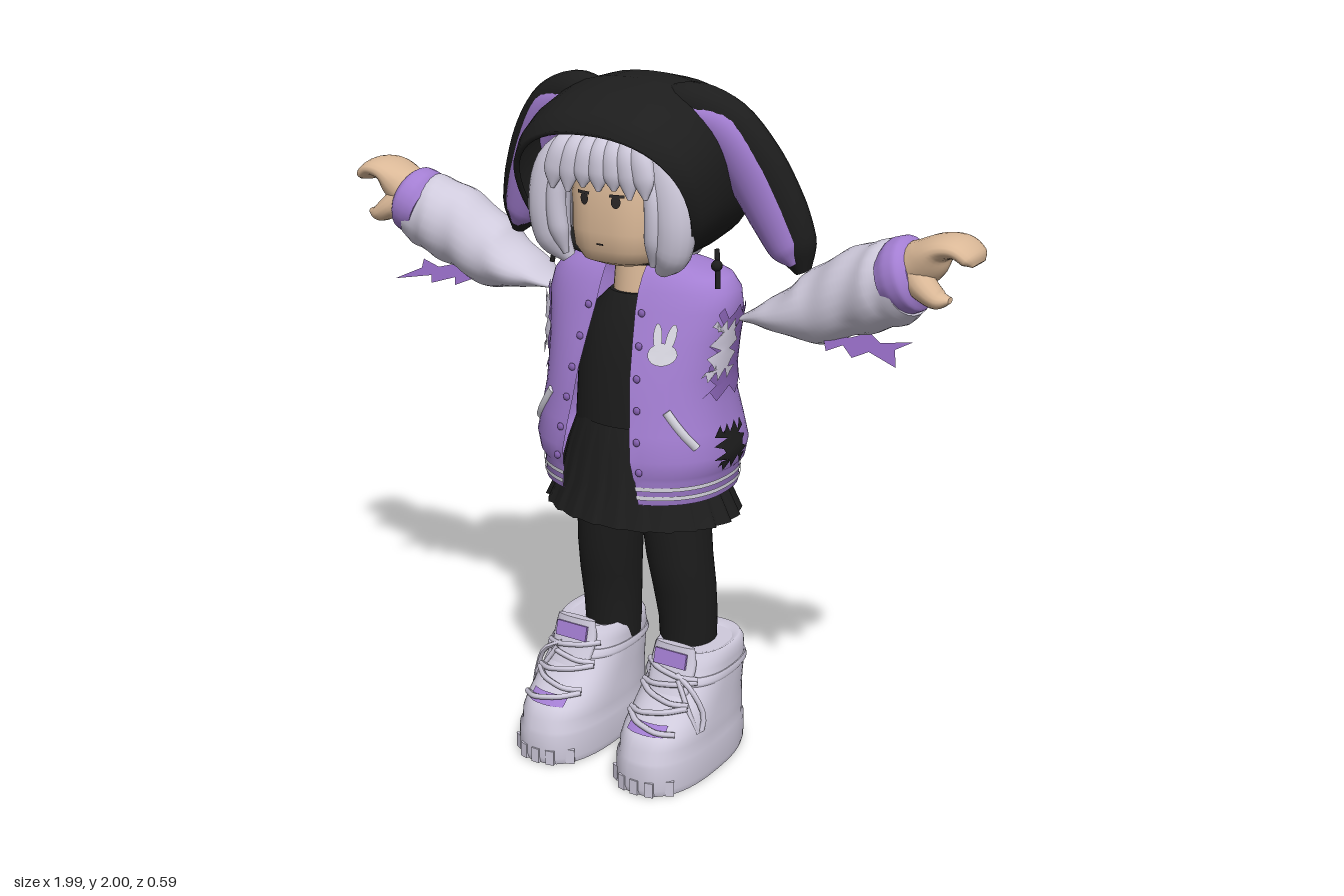
import * as THREE from 'three';

const mat = (name, color, double = true) => {
  const m = new THREE.MeshStandardMaterial({ color, side: double ? THREE.DoubleSide : THREE.FrontSide });
  m.name = name;
  return m;
};
const V = (x, y, z) => new THREE.Vector3(x, y, z);

// Skins rows of points; closed rows wrap around, caps close the ends
function skin(rows, closed = true, caps = false) {
  const n = rows[0].length, pos = [], idx = [];
  rows.forEach(r => r.forEach(p => pos.push(p.x, p.y, p.z)));
  for (let i = 0; i < rows.length - 1; i++)
    for (let j = 0; j < (closed ? n : n - 1); j++) {
      const a = i * n + j, b = i * n + (j + 1) % n;
      idx.push(a, b, b + n, a, b + n, a + n);
    }
  if (caps) [rows[0], rows[rows.length - 1]].forEach((r, end) => {
    const base = pos.length / 3, c = V(0, 0, 0);
    r.forEach(p => { c.add(p); pos.push(p.x, p.y, p.z); });
    c.divideScalar(n);
    pos.push(c.x, c.y, c.z);
    for (let j = 0; j < n; j++) {
      const a = base + j, b = base + (j + 1) % n;
      end ? idx.push(a, b, base + n) : idx.push(b, a, base + n);
    }
  });
  const g = new THREE.BufferGeometry();
  g.setAttribute('position', new THREE.Float32BufferAttribute(pos, 3));
  g.setIndex(idx);
  g.computeVertexNormals();
  return g;
}

const pw = (v, e) => Math.sign(v) * Math.abs(v) ** e;
// Point on a superellipse ring [y, rx, rz, cz, cx]; angle 0 faces the front
const ringPoint = ([y, rx, rz, cz = 0, cx = 0], t, n, k = 1) =>
  V(cx + k * rx * pw(Math.sin(t), 2 / n), y, cz + k * rz * pw(Math.cos(t), 2 / n));
const loft = (rings, n = 2, caps = true, seg = 40, wave = () => 1) => skin(rings.map((r, i) =>
  Array.from({ length: seg }, (_, j) => ringPoint(r, j / seg * Math.PI * 2, n, wave(j, i)))), true, caps);

// Ring of a profile at any height
function at(rings, y) {
  let i = 0;
  while (i < rings.length - 2 && rings[i + 1][0] < y) i++;
  const a = rings[i], b = rings[i + 1], f = (y - a[0]) / (b[0] - a[0]);
  return a.map((v, k) => v + (b[k] - v) * f);
}
const frontZ = (rings, n, x, y) => {
  const [, rx, rz, cz, cx = 0] = at(rings, y);
  return cz + rz * Math.max(0, 1 - Math.abs((x - cx) / rx) ** n) ** (1 / n);
};
// Lays a flat geometry on the front of a profile
function drape(g, rings, n, off = 0.006) {
  const p = g.attributes.position;
  for (let i = 0; i < p.count; i++) p.setZ(i, frontZ(rings, n, p.getX(i), p.getY(i)) + off);
  g.computeVertexNormals();
  return g;
}

// Sweeps an ellipse along points [x, y, z, halfWidth, halfDepth]; ref is the depth direction
function sweep(pts, ref = V(0, 0, 1), steps = 20, seg = 16, wrinkle = 0) {
  const path = new THREE.CatmullRomCurve3(pts.map(p => V(p[0], p[1], p[2])));
  const size = new THREE.CatmullRomCurve3(pts.map(p => V(p[3], p[4], 0)));
  const rows = [];
  for (let i = 0; i <= steps; i++) {
    const t = i / steps, P = path.getPoint(t), T = path.getTangent(t), s = size.getPoint(t);
    const D = ref.clone().addScaledVector(T, -ref.dot(T)).normalize(), W = T.clone().cross(D);
    rows.push(Array.from({ length: seg }, (_, j) => {
      const a = j / seg * Math.PI * 2, k = 1 + wrinkle * Math.sin(t * 26 + 2 * Math.sin(a) + a);
      return P.clone().addScaledVector(D, s.y * k * Math.cos(a)).addScaledVector(W, s.x * k * Math.sin(a));
    }));
  }
  return skin(rows, true, true);
}
const cord = (pts, r) => new THREE.TubeGeometry(new THREE.CatmullRomCurve3(pts.map(p => V(...p))), 14, r, 6);

function flip(g) {
  const m = g.clone().scale(-1, 1, 1), ix = m.index.array;
  for (let i = 0; i < ix.length; i += 3) [ix[i], ix[i + 1]] = [ix[i + 1], ix[i]];
  m.computeVertexNormals();
  return m;
}

export function createModel() {
  const black = mat('black cloth', 0x1d1d1d), purple = mat('purple cloth', 0xa37ed2);
  const deep = mat('torn purple', 0x8762b2), pale = mat('pale lavender', 0xcfcadc);
  const skinTone = mat('skin', 0xdab897), white = mat('stripe white', 0xd9d8e2), dark = mat('eye dark', 0x2a2626);
  const root = new THREE.Group();
  const add = (name, g, m) => { const o = new THREE.Mesh(g, m); o.name = name; root.add(o); return o; };
  const pair = (name, g, m) => { add('left ' + name, g, m); add('right ' + name, flip(g), m); };

  // Head, neck and face
  const head = [[1.5, .07, .07, .06], [1.515, .11, .11, .058], [1.55, .135, .135, .052], [1.6, .143, .145, .047],
    [1.7, .145, .145, .045], [1.78, .13, .13, .04], [1.84, .09, .09, .04]];
  add('head', loft(head, 2.6), skinTone);
  add('neck', new THREE.CylinderGeometry(.06, .075, .2, 24).translate(0, 1.44, 0), skinTone);
  pair('eye', drape(new THREE.CircleGeometry(.016, 16).scale(.85, 1.1, 1).translate(.05, 1.69, 0), head, 2.6, .005), dark);
  pair('lash', drape(new THREE.PlaneGeometry(.042, .008, 4, 1).translate(.053, 1.706, 0), head, 2.6, .007), dark);
  add('mouth', drape(new THREE.PlaneGeometry(.022, .005, 3, 1).translate(0, 1.57, 0), head, 2.6, .004), dark);

  // Hair: inner cap, fringe strands and side locks
  add('hair cap', loft([[1.53, .19, .09, 0], [1.6, .235, .12, 0], [1.7, .25, .135, .02], [1.8, .22, .135, .03],
    [1.86, .14, .1, .05], [1.885, .03, .03, .05]]), pale);
  for (let i = -3; i <= 3; i++) {
    const x = i * .047, tip = 1.715 - Math.abs(i) * .006 + (i % 2 ? .012 : 0);
    add('fringe strand', sweep([[x * .6, 1.87, .12, .02, .02], [x * .85, 1.82, .18, .035, .025],
      [x, 1.76, .197, .033, .018], [x * 1.05, tip, .198, .006, .006]]), pale);
  }
  pair('side lock', sweep([[.1, 1.85, .11, .03, .03], [.175, 1.76, .14, .06, .04], [.2, 1.65, .14, .062, .05],
    [.19, 1.56, .135, .055, .045], [.15, 1.5, .12, .02, .02]]), pale);
  pair('cheek lock', sweep([[.13, 1.8, .16, .02, .02], [.155, 1.7, .17, .028, .025], [.155, 1.6, .165, .03, .025],
    [.14, 1.52, .15, .008, .008]]), pale);

  // Hood: rings from the back to the slanted front rim [z, centreY, rx, ry, slant]
  const hood = [[-.293, 1.72, .004, .004, 0], [-.288, 1.72, .09, .085, 0], [-.27, 1.725, .16, .15, 0],
    [-.235, 1.73, .22, .2, 0], [-.17, 1.74, .27, .235, 0], [-.06, 1.749, .297, .251, 0], [.04, 1.747, .302, .252, .06],
    [.11, 1.73, .298, .238, .2], [.155, 1.71, .287, .218, .38], [.185, 1.69, .272, .195, .5], [.172, 1.69, .262, .184, .5]];
  add('hood', skin(hood.map(([z, cy, rx, ry, s]) => Array.from({ length: 48 }, (_, j) => {
    const a = j / 48 * Math.PI * 2, y = ry * pw(Math.cos(a), .87);
    return V(-rx * pw(Math.sin(a), .87), cy + y, z + s * y);
  }))), black);
  const ear = [[.08, 1.93, .03, .04, .04], [.18, 1.935, .015, .062, .06], [.27, 1.88, -.01, .085, .062],
    [.34, 1.775, -.04, .096, .065], [.4, 1.66, -.065, .088, .065], [.445, 1.565, -.08, .066, .055], [.47, 1.5, -.085, .02, .025]];
  pair('hood ear', sweep(ear, V(-.25, 0, 1), 28, 20), black);
  pair('ear lining', sweep(ear.slice(1).map(([x, y, z, a, b], i) =>
    [x - .012, y + (i > 4 ? .025 : 0), z + .028, a * (i ? .78 : .4), b * .75]), V(-.25, 0, 1), 28, 20), purple);
  pair('hood cord', cord([[.25, 1.55, 0], [.265, 1.5, .02], [.272, 1.45, .03]], .008), black);
  pair('cord tip', new THREE.SphereGeometry(.016, 10, 8).translate(.262, 1.51, .02), black);

  // Dress
  add('dress top', loft([[.95, .2, .16, -.02], [1.2, .18, .145, -.01], [1.34, .15, .11, -.005], [1.41, .075, .08, 0]], 2.2), black);
  add('pleated skirt', loft([[.765, .298, .235, -.025], [.86, .25, .207, -.025], [.95, .222, .19, -.02], [1.04, .19, .165, -.02]],
    2, false, 144, (j, i) => 1 + [.022, .016, .01, 0][i] * (j % 6 / 3 - 1)), black);
  add('skirt lining', loft([[.745, .13, .14, -.02], [.8, .19, .17, -.02], [.86, .2, .18, -.02]]), deep);

  // Jacket body, open along the front
  const N = 2.3;
  const jacket = [[.845, .265, .225, -.02], [.85, .278, .236, -.02], [.915, .282, .238, -.02], [.93, .296, .246, -.022],
    [.98, .306, .252, -.022], [1.05, .292, .238, -.02], [1.12, .279, .218, -.017], [1.2, .274, .2, -.015], [1.3, .284, .176, -.026],
    [1.38, .297, .157, -.037], [1.43, .288, .145, -.044], [1.465, .262, .128, -.046], [1.485, .21, .112, -.045],
    [1.497, .14, .1, -.04], [1.51, .1, .088, -.035], [1.525, .095, .085, -.035]];
  const gapX = y => y > 1.4 ? .062 : .062 + (1.4 - y) * .115;
  const strip = (y0s, off, seg = 56) => skin(y0s.map(y => {
    const r = at(jacket, y).map((v, k) => k === 1 || k === 2 ? v + off : v);
    const g = Math.asin((gapX(y) / r[1]) ** (N / 2));
    return Array.from({ length: seg + 1 }, (_, j) => ringPoint(r, g + (Math.PI * 2 - 2 * g) * j / seg, N));
  }), false);
  add('jacket', strip(jacket.map(r => r[0]), 0), purple);
  add('lower hem stripe', strip([.866, .878], .004), white);
  add('upper hem stripe', strip([.892, .904], .004), white);
  for (let i = 0; i < 6; i++) {
    const y = .95 + i * .085, x = gapX(y) + .022;
    pair('snap button', new THREE.SphereGeometry(.011, 10, 8).scale(1, 1, .6)
      .translate(x, y, frontZ(jacket, N, x, y) + .004), deep);
  }
  // Pocket trims and rabbit patch
  pair('pocket trim', sweep([0, 1, 2, 3].map(i => {
    const x = .19 + i * .024, y = 1.12 - i * .034;
    return [x, y, frontZ(jacket, N, x, y) + .002, .013, .008];
  }), V(.4, 0, 1), 12, 8), white);
  const patch = (w, h, x, y, tilt) => add('rabbit patch', drape(new THREE.CircleGeometry(1, 20).scale(w, h, 1)
    .rotateZ(tilt).translate(x, y, 0), jacket, N, .009), white);
  patch(.038, .03, .165, 1.275, 0);
  patch(.012, .036, .147, 1.32, .15);
  patch(.012, .036, .182, 1.32, -.15);

  // Ragged patches around the armholes and sides
  const rag = (t0, t1, y0, y1, off) => skin(Array.from({ length: 9 }, (_, i) => {
    const f = i / 8, jag = .12 * Math.sin(i * 2.4 + t0 * 9);
    return Array.from({ length: 11 }, (_, j) => {
      const y = y0 + (y1 - y0) * f + (i === 0 || i === 8 ? .018 * Math.sin(j * 2.1) : 0);
      const r = at(jacket, y);
      return ringPoint([y, r[1] + off, r[2] + off, r[3]], t0 + jag + (t1 - t0 - jag * 1.6) * j / 10, N);
    });
  }), false);
  pair('torn armhole', rag(1.25, 2.2, 1.15, 1.38, .006), deep);
  pair('sleeve remnant', rag(1.2, 1.55, 1.21, 1.35, .014), pale);
  pair('side tear', rag(1.35, 1.7, .95, 1.05, .006), black);

  // Sleeves, cuffs and hands
  pair('sleeve', sweep([[.31, 1.358, -.06, .008, .04], [.4, 1.382, -.06, .042, .09], [.52, 1.412, -.062, .095, .11],
    [.63, 1.468, -.062, .112, .115], [.73, 1.512, -.05, .117, .115], [.8, 1.54, -.035, .1, .1]], V(0, 0, 1), 40, 24, .035), pale);
  pair('cuff', sweep([[.76, 1.535, -.035, .085, .1], [.79, 1.548, -.033, .102, .106], [.815, 1.558, -.031, .1, .104],
    [.835, 1.565, -.03, .075, .08]], V(0, 0, 1), 14, 24), purple);
  pair('palm and fingers', sweep([[.79, 1.56, -.03, .06, .07], [.845, 1.595, -.03, .06, .077], [.89, 1.635, -.03, .036, .08],
    [.94, 1.642, -.03, .028, .077], [.975, 1.62, -.03, .024, .068], [.988, 1.605, -.03, .008, .04]], V(0, 0, 1), 24, 20), skinTone);
  pair('thumb', sweep([[.82, 1.57, 0, .05, .04], [.865, 1.535, .015, .036, .042], [.905, 1.513, .02, .026, .036],
    [.938, 1.515, .02, .008, .014]], V(0, 0, 1), 16, 16), skinTone);
  const shred = new THREE.Shape([[.56, .02], [.61, -.06], [.64, -.02], [.69, -.07], [.72, -.03], [.82, -.08],
    [.78, .0], [.81, .05], [.73, .02], [.68, .06], [.64, .02]].map(p => new THREE.Vector2(...p)));
  pair('torn sleeve scrap', new THREE.ShapeGeometry(shred).rotateX(-1.3).translate(0, 1.352, -.01), deep);

  // Legs
  pair('leg', loft([[.3, .08, .085, -.07, .132], [.42, .085, .088, -.065, .132], [.52, .09, .095, -.05, .128],
    [.62, .093, .102, -.035, .12], [.78, .098, .108, -.025, .108], [.9, .1, .11, -.02, .105]], 2.1), black);

  // Boots
  const cx = .172;
  const boot = [[0, .127, .252, .035], [.02, .132, .259, .035], [.09, .132, .258, .034], [.098, .126, .25, .032],
    [.135, .126, .247, .03], [.165, .124, .235, .02], [.19, .122, .217, .004], [.225, .12, .195, -.018], [.27, .119, .166, -.046],
    [.32, .117, .15, -.06], [.345, .115, .142, -.064], [.362, .104, .13, -.066], [.35, .085, .1, -.068]].map(r => [...r, cx]);
  const upper = boot.slice(0, 12);
  pair('boot', loft(boot, 2.5, true, 48), pale);
  pair('boot collar', loft([[.275, .121, .166, -.048, cx], [.285, .126, .17, -.05, cx], [.3, .121, .16, -.055, cx]], 2.5), pale);
  pair('boot tongue', sweep([[cx, .2, .15, .06, .02], [cx, .27, .108, .07, .02], [cx, .33, .08, .075, .02],
    [cx, .385, .07, .065, .018]], V(0, .3, 1), 14, 16), pale);
  pair('tongue patch', new THREE.BoxGeometry(.105, .045, .008).rotateX(-.25).translate(cx, .35, .099), purple);
  pair('lace lining', drape(new THREE.PlaneGeometry(.12, .025, 6, 2).translate(cx, .185, 0), upper, 2.5, .008), purple);
  for (let i = 0; i < 5; i++) {
    const y = .19 + i * .03;
    pair('lace', cord([-.085, -.04, 0, .04, .085].map((d, k) => {
      const h = y + (k - 2) * .006 * (i % 2 ? 1 : -1);
      return [cx + d, h, frontZ(upper, 2.5, cx + d, h) + .016];
    }), .009), pale);
  }
  pair('lace loop', cord([[.2, .31, .11], [.255, .28, .12], [.292, .2, .11], [.288, .15, .13], [.268, .2, .14], [.21, .3, .12]], .008), pale);
  for (let i = -2; i <= 2; i++) {
    const x = cx + i * .045;
    pair('sole lug', new THREE.BoxGeometry(.026, .045, .012).rotateY(i * .25)
      .translate(x, .025, frontZ(upper, 2.5, x, .025) - .002), pale);
  }
  return root;
}
